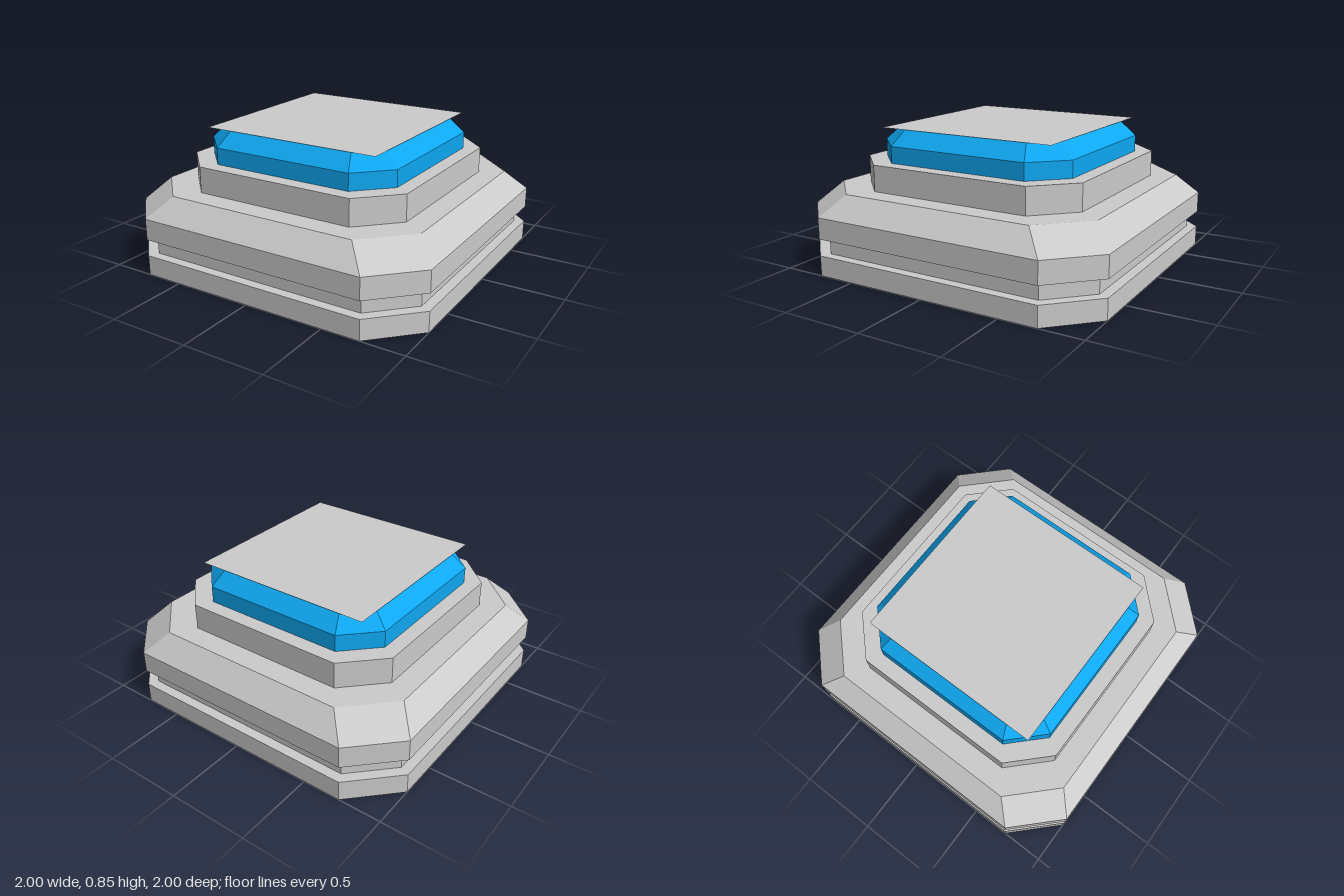
import * as THREE from 'three';

// Square outline with cut corners: s = half width, f = half length of the straight side
const octagon = (s, f) => [[s, f], [f, s], [-f, s], [-s, f], [-s, -f], [-f, -s], [f, -s], [s, -f]];

// Closed solid lofted through cut-corner sections given as [y, s, f], bottom to top
function tier(name, sections, material) {
  const rings = sections.map(([y, s, f]) => octagon(s, f).map(([x, z]) => [x, y, z]));
  const positions = [];
  const tri = (a, b, c) => positions.push(...a, ...b, ...c);
  const top = rings.length - 1;
  for (let i = 0; i < 8; i++) {
    const j = (i + 1) % 8;
    for (let r = 0; r < top; r++) {
      const lower = rings[r], upper = rings[r + 1];
      tri(lower[i], upper[i], lower[j]);
      tri(upper[i], upper[j], lower[j]);
    }
    tri([0, sections[0][0], 0], rings[0][i], rings[0][j]);
    tri([0, sections[top][0], 0], rings[top][j], rings[top][i]);
  }
  const geometry = new THREE.BufferGeometry();
  geometry.setAttribute('position', new THREE.Float32BufferAttribute(positions, 3));
  geometry.computeVertexNormals();
  const mesh = new THREE.Mesh(geometry, material);
  mesh.name = name;
  return mesh;
}

export function createModel() {
  const group = new THREE.Group();
  group.name = 'steppedPedestal';
  const grey = new THREE.MeshStandardMaterial({ color: 0xcccccc, flatShading: true });
  const blue = new THREE.MeshStandardMaterial({ color: 0x0fa8f2, flatShading: true });

  // Base slab, recessed band and bevelled body
  group.add(tier('baseSlab', [[0, 1, 0.735], [0.125, 1, 0.735]], grey));
  group.add(tier('recessedBand', [[0.125, 0.94, 0.708], [0.228, 0.94, 0.708]], grey));
  group.add(tier('bevelledBody', [[0.228, 1, 0.735], [0.36, 1, 0.735], [0.49, 0.88, 0.615]], grey));

  // Collar and blue cap
  group.add(tier('collar', [[0.49, 0.742, 0.517], [0.652, 0.742, 0.517]], grey));
  group.add(tier('blueCap', [[0.652, 0.65, 0.455], [0.755, 0.65, 0.455], [0.846, 0.56, 0.418]], blue));

  // Thin square plate lying on the cap, its corners overhanging
  const plate = new THREE.Mesh(
    new THREE.PlaneGeometry(1.16, 1.16).rotateX(-Math.PI / 2),
    new THREE.MeshStandardMaterial({ color: 0xcccccc, side: THREE.DoubleSide })
  );
  plate.name = 'topPlate';
  plate.position.y = 0.849;
  group.add(plate);

  return group;
}
